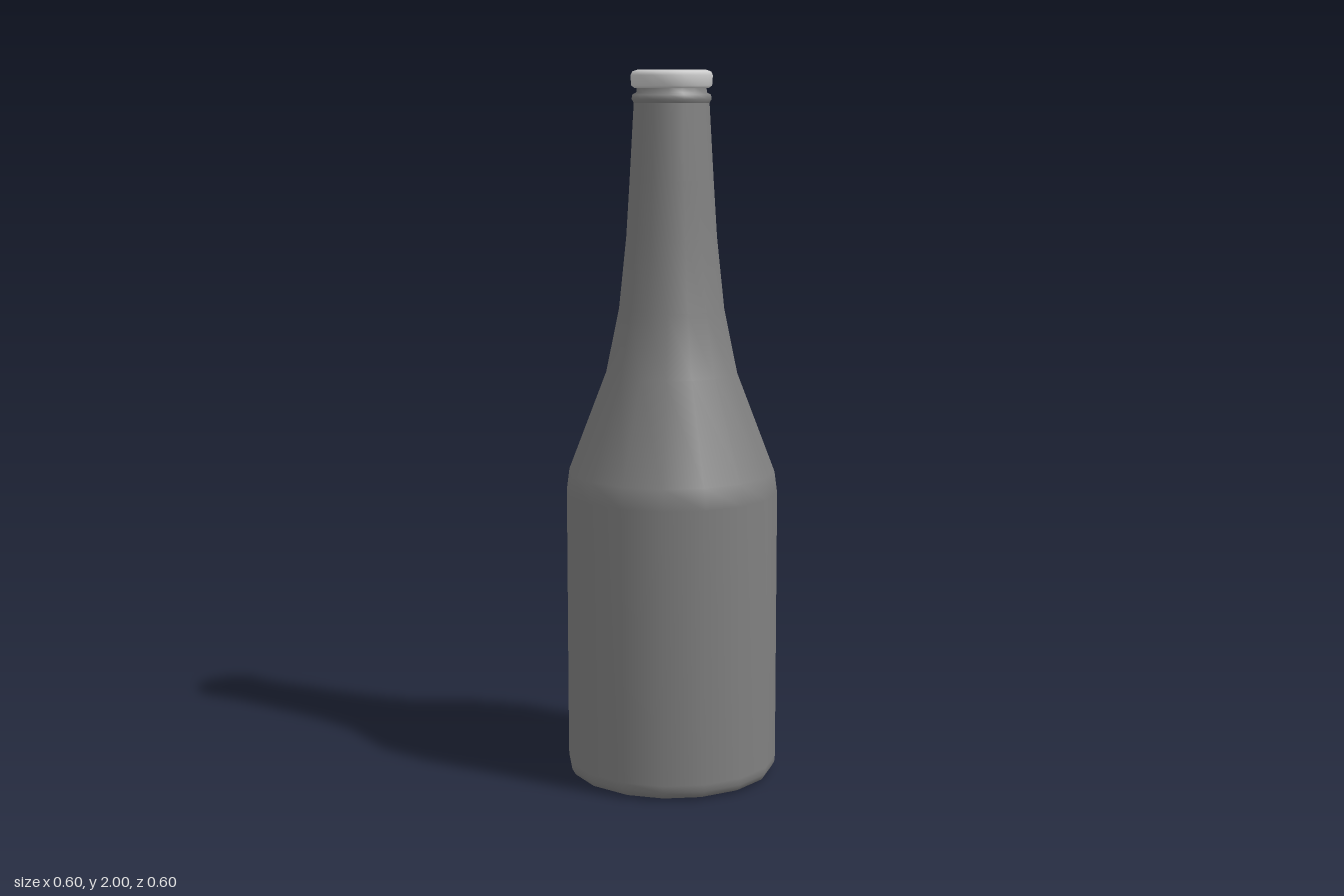
import * as THREE from 'three';

const SIDES = 16;

// Turn a list of [radius, height] points around the y axis
function turned(name, profile, color) {
  const points = profile.map(([r, y]) => new THREE.Vector2(r, y));
  const mesh = new THREE.Mesh(
    new THREE.LatheGeometry(points, SIDES),
    new THREE.MeshStandardMaterial({ color })
  );
  mesh.name = name;
  return mesh;
}

export function createModel() {
  const glass = 0x808080;
  const group = new THREE.Group();
  group.name = 'bottle';

  // Slightly hollowed underside
  group.add(turned('base', [[0, 0.02], [0.14, 0.015], [0.27, 0]], glass));

  // Straight body, sloping shoulder and tapering neck
  group.add(turned('body', [
    [0.27, 0], [0.288, 0.008], [0.298, 0.025], [0.3, 0.045],
    [0.3, 0.82], [0.292, 0.88], [0.185, 1.16], [0.148, 1.34],
    [0.127, 1.54], [0.117, 1.7], [0.105, 1.91],
  ], glass));

  // Rolled lip and the groove below the cap
  group.add(turned('lip', [
    [0.105, 1.91], [0.111, 1.92], [0.109, 1.932], [0.098, 1.938], [0.096, 1.955],
  ], glass));

  // Cap with a rounded rim
  group.add(turned('cap', [
    [0, 1.95], [0.103, 1.95], [0.112, 1.957], [0.114, 1.985],
    [0.109, 1.995], [0.095, 2.0], [0, 2.0],
  ], 0xcccccc));

  return group;
}
